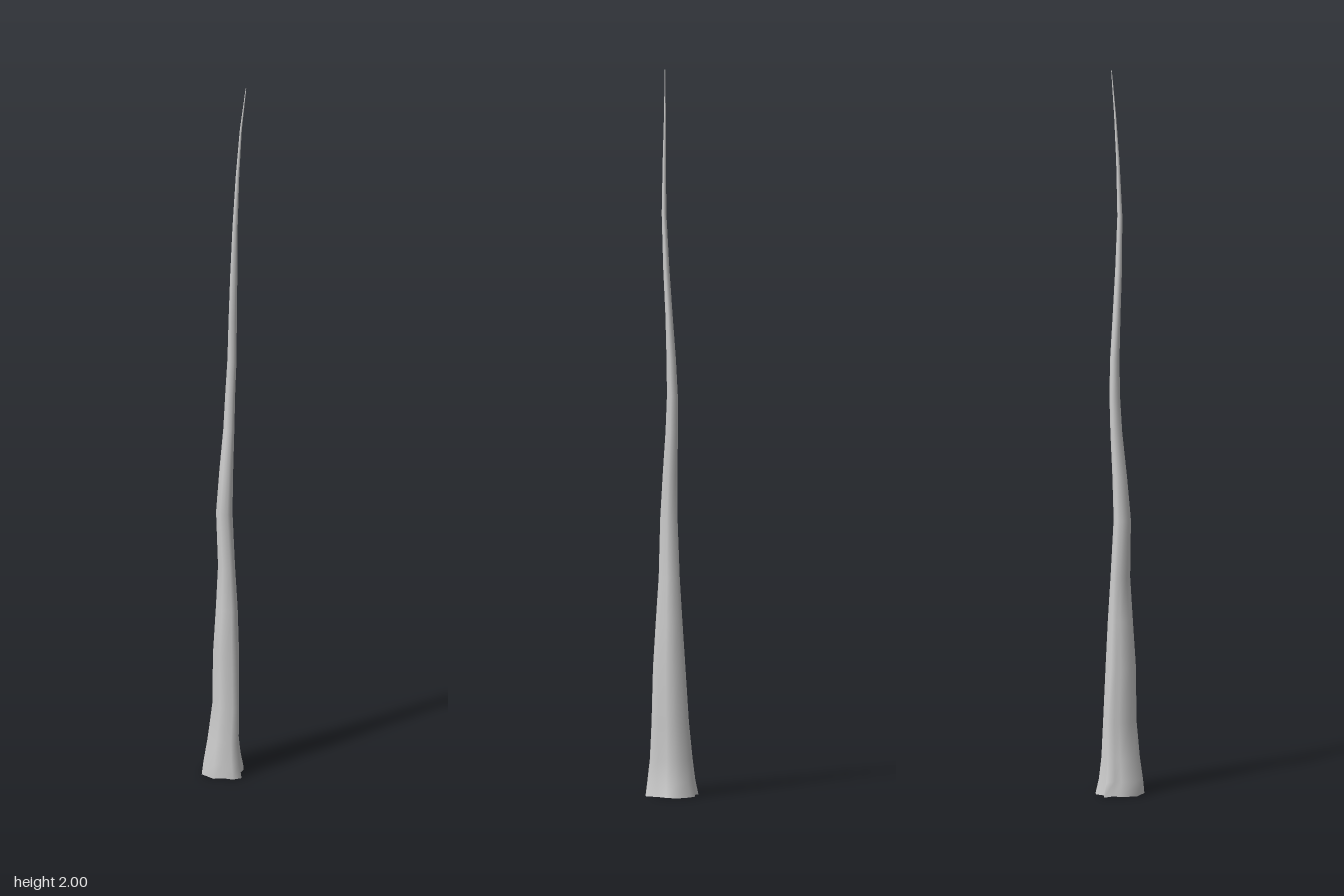
import * as THREE from 'three';

// Ribbed outline of the root flare, as x, z fractions of the half width
const outline = [
  [-0.34, -1.02], [0, -0.8], [0.37, -0.92], [0.65, -0.74], [0.98, -0.25], [0.82, 0.17], [0.48, 0.56],
  [0.46, 0.95], [0.06, 0.98], [-0.29, 0.74], [-0.69, 0.67], [-1, 0.1], [-0.69, -0.48], [-0.4, -0.6],
];

// Trunk cross-sections: height, x min, x max, z min, z max
const sections = [
  [0, -0.066, 0.063, -0.071, 0.072],
  [0.04, -0.061, 0.054, -0.063, 0.067],
  [0.1, -0.05, 0.046, -0.056, 0.06],
  [0.2, -0.036, 0.045, -0.047, 0.055],
  [0.35, -0.035, 0.043, -0.038, 0.051],
  [0.48, -0.026, 0.038, -0.03, 0.043],
  [0.6, -0.019, 0.03, -0.023, 0.035],
  [0.76, -0.025, 0.022, -0.017, 0.031],
  [0.88, -0.014, 0.025, -0.017, 0.024],
  [1.0, -0.001, 0.03, -0.018, 0.016],
  [1.1, 0.005, 0.033, -0.018, 0.012],
  [1.2, 0.01, 0.036, -0.013, 0.013],
  [1.32, 0.011, 0.035, -0.004, 0.016],
  [1.45, 0.013, 0.034, 0.005, 0.022],
  [1.6, 0.018, 0.033, 0.013, 0.026],
  [1.75, 0.028, 0.038, 0.014, 0.023],
  [1.88, 0.04, 0.046, 0.014, 0.019],
  [2.0, 0.057, 0.059, 0.015, 0.017],
];

function createTrunk() {
  const n = outline.length;
  const positions = [];
  const indices = [];
  sections.forEach(([y, x0, x1, z0, z1], row) => {
    // The ribs fade into a round stem with height
    const round = Math.min(0.9, 0.25 * Math.sqrt(y) + y * 0.8);
    outline.forEach(([u, v], i) => {
      const r = Math.hypot(u, v);
      const k = THREE.MathUtils.lerp(1, 1 / r, round);
      positions.push(
        (x0 + x1) / 2 + u * k * (x1 - x0) / 2,
        y,
        (z0 + z1) / 2 + v * k * (z1 - z0) / 2,
      );
      if (row === 0) return;
      const j = (i + 1) % n;
      const a = (row - 1) * n + i, b = (row - 1) * n + j;
      const c = row * n + i, d = row * n + j;
      indices.push(a, c, b, b, c, d);
    });
  });
  // Close the pointed tip
  const last = (sections.length - 1) * n;
  for (let i = 1; i < n - 1; i++) indices.push(last, last + i + 1, last + i);

  const geometry = new THREE.BufferGeometry();
  geometry.setAttribute('position', new THREE.Float32BufferAttribute(positions, 3));
  geometry.setIndex(indices);
  geometry.computeVertexNormals();
  return geometry;
}

export function createModel() {
  const group = new THREE.Group();
  group.name = 'bareTreeTrunk';
  // The trunk is a shell, open underneath
  const material = new THREE.MeshStandardMaterial({ color: 0xcccccc, side: THREE.DoubleSide });
  const trunk = new THREE.Mesh(createTrunk(), material);
  trunk.name = 'trunk';
  group.add(trunk);
  return group;
}
